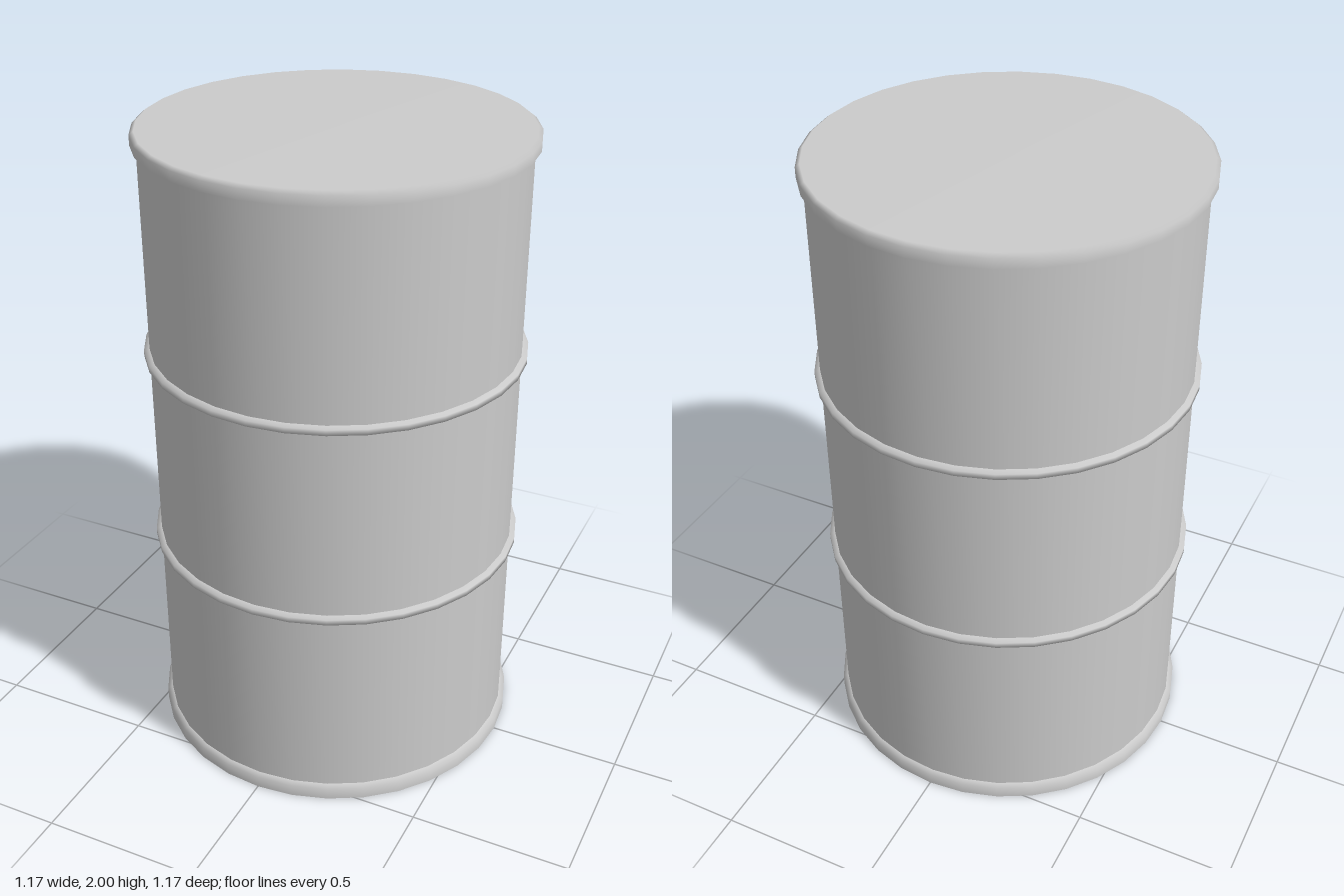
import * as THREE from 'three';

const SIDES = 32;
const BODY_R = 0.568;
const BAND_R = 0.585;

export function createModel() {
  const group = new THREE.Group();
  const material = new THREE.MeshStandardMaterial({ color: 0xcccccc });

  // Revolve a [radius, height] profile, listed from bottom to top
  const revolve = (name, profile) => {
    const points = profile.map(([r, y]) => new THREE.Vector2(r, y));
    const mesh = new THREE.Mesh(new THREE.LatheGeometry(points, SIDES), material);
    mesh.name = name;
    group.add(mesh);
  };

  // Straight drum wall
  revolve('wall', [[BODY_R, 0.03], [BODY_R, 1.97]]);

  // Flat base and the bottom rim around it
  revolve('base', [[0, 0], [BAND_R, 0]]);
  revolve('bottomRim', [[BAND_R, 0], [BAND_R, 0.038], [BODY_R, 0.046]]);

  // Two raised hoops dividing the wall in thirds
  for (const [name, y] of [['lowerHoop', 0.684], ['upperHoop', 1.318]]) {
    revolve(name, [
      [BODY_R, y - 0.013], [BAND_R, y - 0.01],
      [BAND_R, y + 0.008], [BODY_R, y + 0.013],
    ]);
  }

  // Top rim with a bevelled edge, running smoothly into the lid
  revolve('topRimUnderside', [[BODY_R, 1.96], [BAND_R, 1.96]]);
  revolve('topRimAndLid', [[BAND_R, 1.96], [BAND_R, 1.99], [0.572, 2], [0, 2]]);

  return group;
}
